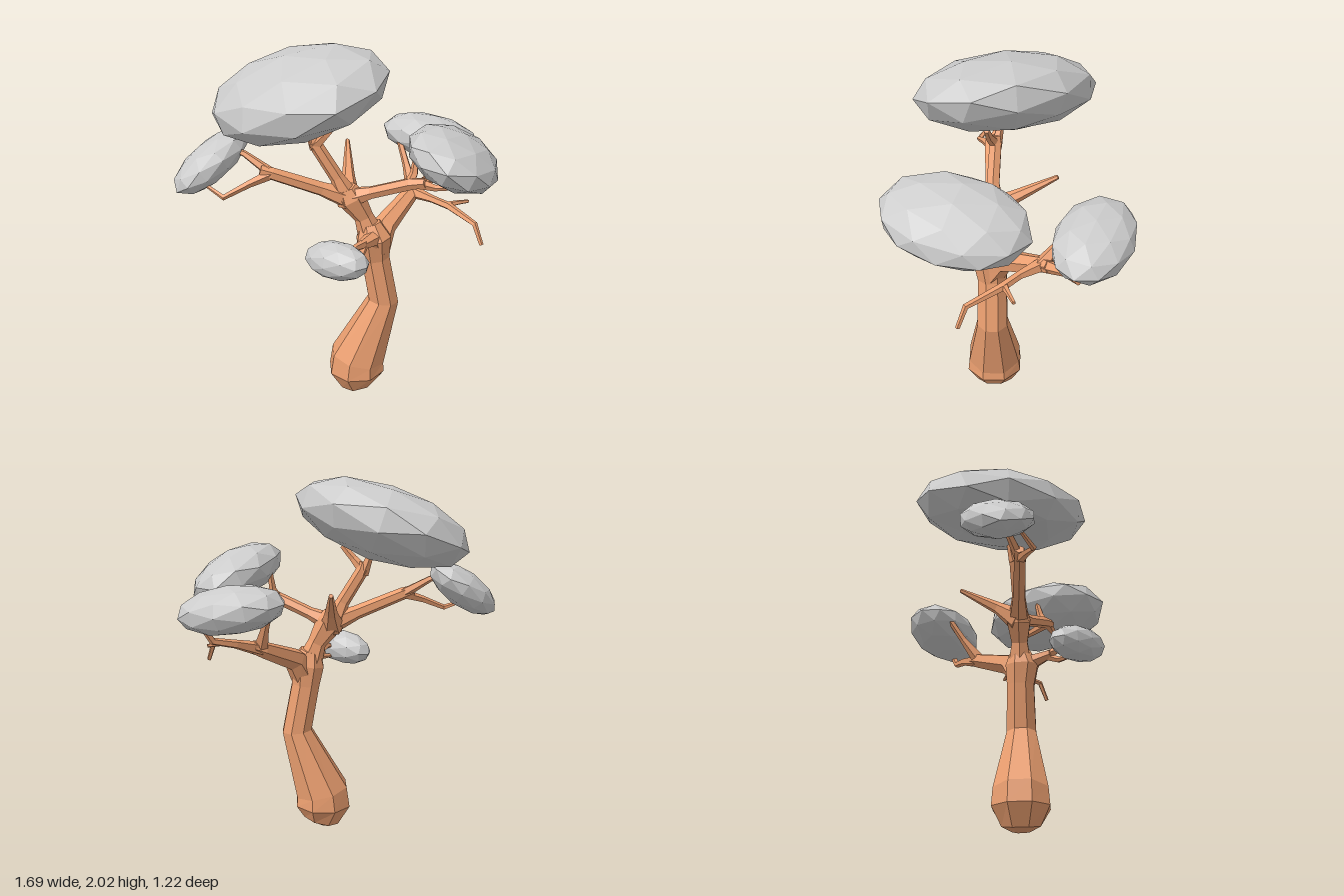
import * as THREE from 'three';

const bark = new THREE.MeshStandardMaterial({ color: 0xeb9f70, flatShading: true });
const leaf = new THREE.MeshStandardMaterial({ color: 0xcccccc, flatShading: true });

// Faceted limb through points [x, y, z, radius], closed at both ends
function limb(name, points, sides) {
  const centres = points.map(p => new THREE.Vector3(p[0], p[1], p[2]));
  const last = points.length - 1;
  const direction = new THREE.Vector3(0, 1, 0);
  const turn = new THREE.Quaternion();
  const positions = [];
  const index = [];
  const addRing = (centre, radius) => {
    for (let j = 0; j < sides; j++) {
      const a = ((j + 0.5) / sides) * Math.PI * 2;
      const v = new THREE.Vector3(Math.sin(a) * radius, 0, Math.cos(a) * radius);
      positions.push(...v.applyQuaternion(turn).add(centre).toArray());
    }
  };
  centres.forEach((c, i) => {
    const before = c.clone().sub(centres[Math.max(i - 1, 0)]).normalize();
    const after = centres[Math.min(i + 1, last)].clone().sub(c).normalize();
    const next = before.add(after).normalize();
    turn.premultiply(new THREE.Quaternion().setFromUnitVectors(direction, next));
    direction.copy(next);
    addRing(c, points[i][3]);
  });
  for (let i = 0; i < last; i++) {
    for (let j = 0; j < sides; j++) {
      const a = i * sides + j;
      const b = i * sides + ((j + 1) % sides);
      index.push(a, b, b + sides, a, b + sides, a + sides);
    }
  }
  // End caps
  for (let j = 1; j < sides - 1; j++) {
    index.push(0, j + 1, j);
    index.push(last * sides, last * sides + j, last * sides + j + 1);
  }
  const geometry = new THREE.BufferGeometry();
  geometry.setAttribute('position', new THREE.Float32BufferAttribute(positions, 3));
  geometry.setIndex(index);
  const flat = geometry.toNonIndexed();
  flat.computeVertexNormals();
  const mesh = new THREE.Mesh(flat, bark);
  mesh.name = name;
  return mesh;
}

// Flattened low-poly leaf clump: turned by its heading (y), then tilted (z, x)
function clump(name, centre, size, rotation) {
  const mesh = new THREE.Mesh(new THREE.IcosahedronGeometry(1, 1), leaf);
  mesh.name = name;
  mesh.position.set(...centre);
  mesh.scale.set(...size);
  mesh.rotation.set(...rotation, 'XZY');
  return mesh;
}

export function createModel() {
  const tree = new THREE.Group();
  tree.name = 'tree';

  // Swollen, bent trunk up to the lower fork
  tree.add(limb('trunk', [
    [0.14, 0.005, 0.1, 0.05], [0.13, 0.03, 0.1, 0.11], [0.118, 0.125, 0.1, 0.166], [0.124, 0.21, 0.1, 0.158],
    [0.263, 0.58, 0.1, 0.089], [0.212, 0.85, 0.1, 0.083], [0.2, 0.97, 0.11, 0.1], [0.18, 1.05, 0.1, 0.06],
  ], 8));

  // Main stem and its boughs
  const boughs = {
    mainStem: [[0.21, 0.92, 0.1, 0.085], [0.145, 1.09, 0.1, 0.052], [0.075, 1.2, 0.1, 0.078], [0.05, 1.26, 0.1, 0.055]],
    rightBough: [[0.09, 1.19, 0.1, 0.065], [-0.08, 1.26, 0.11, 0.04], [-0.34, 1.36, 0.13, 0.035], [-0.4, 1.38, 0.13, 0.028]],
    topBough: [[0.07, 1.18, 0.1, 0.07], [0.0, 1.32, 0.1, 0.038], [-0.11, 1.5, 0.09, 0.036], [-0.12, 1.54, 0.09, 0.028]],
    backSpike: [[0.06, 1.19, 0.1, 0.07], [0.07, 1.28, -0.02, 0.036], [0.08, 1.41, -0.24, 0.012]],
    leftBough: [[0.06, 1.2, 0.1, 0.06], [0.18, 1.25, 0.15, 0.035], [0.37, 1.33, 0.24, 0.034], [0.44, 1.35, 0.28, 0.026]],
    lowerLeftBough: [[0.21, 0.88, 0.11, 0.08], [0.27, 1.01, 0.04, 0.065], [0.44, 1.115, -0.16, 0.045], [0.49, 1.14, -0.2, 0.034]],
    lowerFrontBough: [[0.21, 0.9, 0.1, 0.08], [0.18, 0.99, 0.18, 0.045], [0.11, 1.0, 0.28, 0.025]],
  };
  for (const [name, points] of Object.entries(boughs)) tree.add(limb(name, points, 6));

  // Thin twigs at the bough ends
  const twigs = {
    rightUpperTwig: [[-0.34, 1.36, 0.13, 0.03], [-0.48, 1.45, 0.07, 0.018], [-0.56, 1.48, 0.05, 0.012]],
    rightLowerTwig: [[-0.34, 1.36, 0.13, 0.03], [-0.46, 1.32, 0.17, 0.02], [-0.59, 1.265, 0.21, 0.016], [-0.68, 1.31, 0.15, 0.01]],
    topRightTwig: [[-0.11, 1.48, 0.09, 0.034], [-0.14, 1.56, 0.07, 0.022], [-0.16, 1.64, 0.06, 0.016]],
    topLeftTwig: [[-0.12, 1.49, 0.09, 0.034], [-0.06, 1.56, 0.12, 0.022], [0.0, 1.63, 0.13, 0.016]],
    leftUpperTwig: [[0.36, 1.32, 0.24, 0.03], [0.39, 1.38, 0.22, 0.022], [0.4, 1.47, 0.2, 0.014]],
    leftOuterTwig: [[0.41, 1.34, 0.26, 0.03], [0.49, 1.325, 0.29, 0.018], [0.58, 1.335, 0.32, 0.012]],
    leftBackTwig: [[0.41, 1.34, 0.26, 0.028], [0.53, 1.33, 0.14, 0.02], [0.67, 1.34, 0.03, 0.012]],
    backUpperTwig: [[0.45, 1.12, -0.16, 0.042], [0.42, 1.25, -0.26, 0.022], [0.38, 1.4, -0.36, 0.016]],
    backOuterTwig: [[0.45, 1.12, -0.17, 0.04], [0.57, 1.17, -0.27, 0.024], [0.68, 1.2, -0.33, 0.02], [0.73, 1.29, -0.37, 0.014]],
    lowTwig: [[0.45, 1.12, -0.16, 0.038], [0.54, 1.12, -0.05, 0.022], [0.62, 1.11, 0.03, 0.022], [0.73, 1.075, 0.2, 0.016], [0.765, 0.97, 0.24, 0.012]],
    lowSideTwig: [[0.61, 1.11, 0.02, 0.02], [0.67, 1.115, 0.0, 0.014], [0.74, 1.11, -0.03, 0.01]],
    frontUpperTwig: [[0.13, 1.0, 0.26, 0.026], [0.08, 1.02, 0.34, 0.018], [0.02, 1.0, 0.42, 0.01]],
    frontLowerTwig: [[0.14, 1.0, 0.24, 0.026], [0.11, 0.96, 0.32, 0.018], [0.05, 0.95, 0.38, 0.01]],
  };
  for (const [name, points] of Object.entries(twigs)) tree.add(limb(name, points, 5));

  // Leaf clumps, each leaning with its bough
  tree.add(
    clump('crownClump', [-0.2, 1.76, 0.03], [0.53, 0.205, 0.42], [0.07, -0.75, 0.33]),
    clump('leftFrontClump', [0.583, 1.47, 0.25], [0.25, 0.137, 0.38], [0, -0.3, -0.42]),
    clump('leftBackClump', [0.578, 1.372, -0.403], [0.288, 0.122, 0.195], [0, -0.38, -0.16]),
    clump('rightClump', [-0.66, 1.4, 0.03], [0.25, 0.1, 0.178], [0, 0.55, 0.62]),
    clump('lowFrontClump', [-0.02, 0.995, 0.425], [0.195, 0.098, 0.11], [-0.06, -0.75, 0.1]),
  );
  return tree;
}
